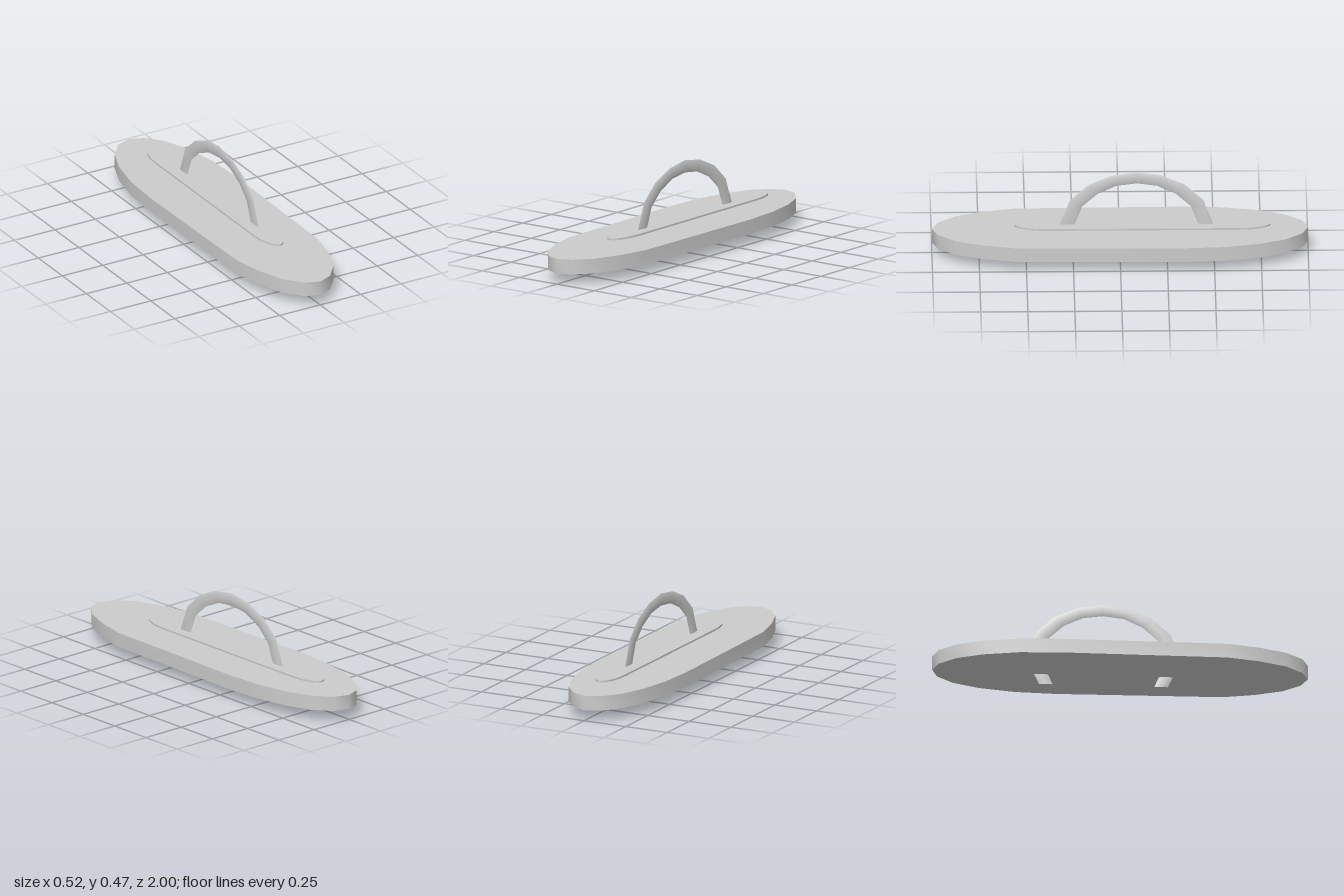
import * as THREE from 'three';
import { toCreasedNormals } from 'three/addons/utils/BufferGeometryUtils.js';

const material = new THREE.MeshStandardMaterial({ color: 0xcccccc });

function part(name, geometry, crease) {
  const mesh = new THREE.Mesh(toCreasedNormals(geometry, crease), material);
  mesh.name = name;
  return mesh;
}

// Flat slab from an outline of [x, z] points, between two heights
function slab(name, outline, bottom, top) {
  const shape = new THREE.Shape(outline.map(([x, z]) => new THREE.Vector2(x, z)));
  const geometry = new THREE.ExtrudeGeometry(shape, { depth: top - bottom, bevelEnabled: false });
  geometry.rotateX(Math.PI / 2).translate(0, top, 0);
  return part(name, geometry, 0.9);
}

// Long outline with half-ellipse ends
function ovalOutline(cx, rx, zMin, zMax, endLength, steps) {
  const points = [];
  for (const side of [1, -1]) {
    for (let i = 0; i <= steps; i++) {
      const a = (i / steps) * Math.PI;
      const z = side > 0 ? zMax - endLength : zMin + endLength;
      points.push([cx + side * rx * Math.cos(a), z + side * endLength * Math.sin(a)]);
    }
  }
  return points;
}

// Thin arch: [outer z, outer y, inner z, inner y] pairs, swept with a flattened oval section
function archGeometry(half, centreX, centreZ, halfWidth, sides) {
  const mirrored = half.slice(0, -1).reverse().map(([oz, oy, iz, iy]) => [-oz, oy, -iz, iy]);
  const rings = [...half, ...mirrored];
  const positions = [], index = [];
  for (const [oz, oy, iz, iy] of rings) {
    for (let j = 0; j < sides; j++) {
      const a = (j / sides) * Math.PI * 2, t = (1 + Math.cos(a)) / 2;
      positions.push(centreX + halfWidth * Math.sin(a), iy + (oy - iy) * t, centreZ + iz + (oz - iz) * t);
    }
  }
  for (let i = 0; i < rings.length - 1; i++) {
    for (let j = 0; j < sides; j++) {
      const k = (j + 1) % sides;
      const a = i * sides + j, b = i * sides + k;
      index.push(a, b, b + sides, a, b + sides, a + sides);
    }
  }
  // Closed feet
  const last = (rings.length - 1) * sides;
  for (let j = 1; j < sides - 1; j++) {
    index.push(0, j + 1, j, last, last + j, last + j + 1);
  }
  const geometry = new THREE.BufferGeometry();
  geometry.setAttribute('position', new THREE.Float32BufferAttribute(positions, 3));
  geometry.setIndex(index);
  return geometry;
}

export function createModel() {
  const group = new THREE.Group();
  group.name = 'handledBoard';

  // Long board, slightly wider towards the back
  const right = [
    [0.08, -0.97], [0.156, -0.88], [0.212, -0.74], [0.25, -0.55], [0.262, -0.33],
    [0.25, 0.56], [0.212, 0.73], [0.156, 0.875], [0.08, 0.967],
  ];
  const left = right.map(([x, z]) => [-x, z]).reverse();
  group.add(slab('board', [[0, -1], ...right, [0, 1], ...left], 0.058, 0.138));

  // Thin plate hovering just above the board
  group.add(slab('plate', ovalOutline(0.015, 0.065, -0.8, 0.56, 0.17, 16), 0.16, 0.17));

  // Arched handle passing through the plate and board
  const half = [
    [0.342, 0, 0.27, 0], [0.415, 0.15, 0.335, 0.15], [0.356, 0.308, 0.289, 0.273],
    [0.256, 0.4, 0.209, 0.346], [0.134, 0.454, 0.108, 0.394], [0, 0.475, 0, 0.408],
  ];
  group.add(part('handle', archGeometry(half, 0.0205, -0.087, 0.0055, 8), 1.0));

  return group;
}
